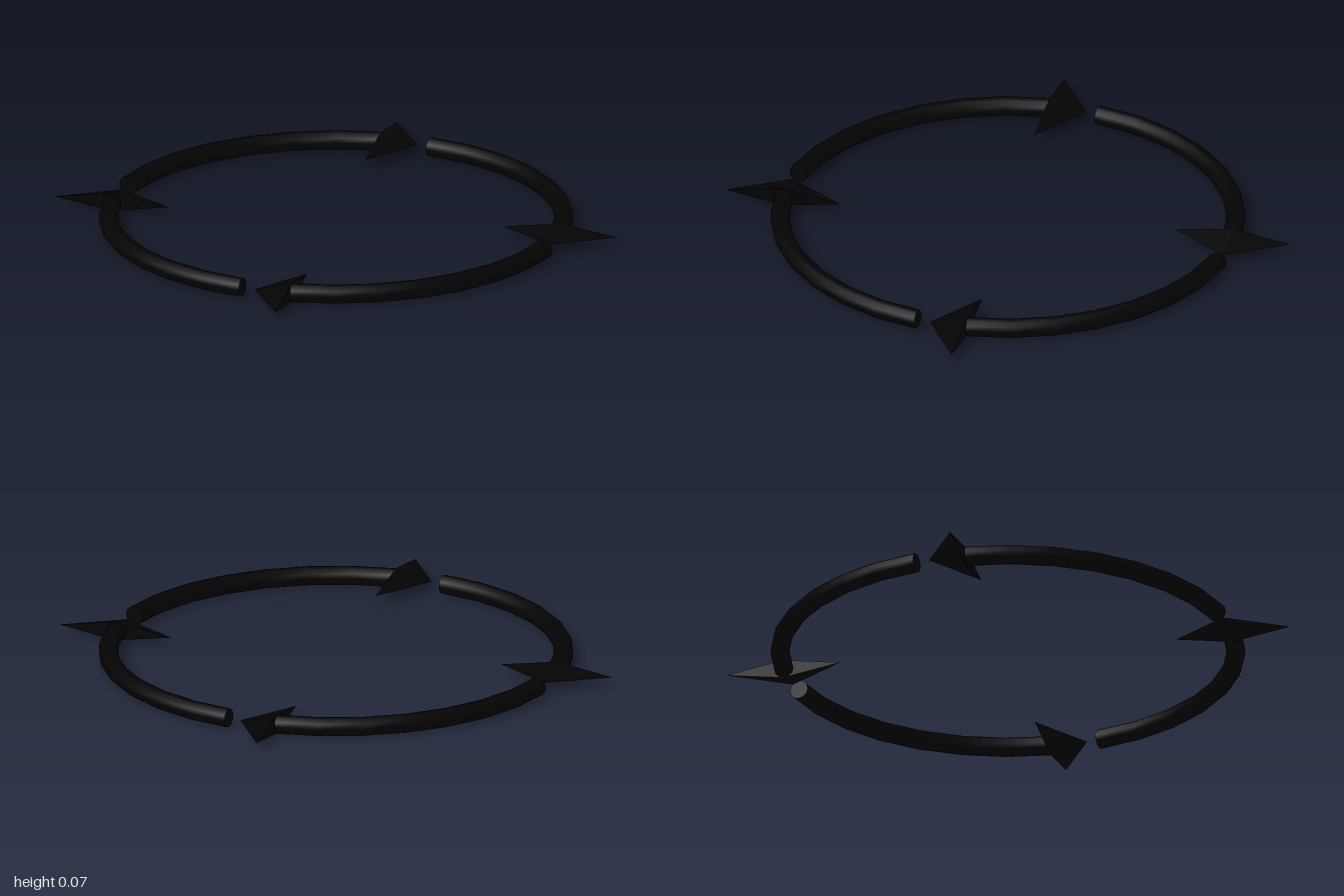
import * as THREE from 'three';
import { mergeGeometries } from 'three/addons/utils/BufferGeometryUtils.js';

const RING = 0.806, TUBE = 0.034, SIDES = 12;
const rad = THREE.MathUtils.degToRad;

// Curved shaft: a closed quarter-ring tube, tail at 88.5 degrees, head end at 11.5
function shaftGeometry() {
  const from = rad(11.5), to = rad(88.5);
  const tube = new THREE.TorusGeometry(RING, TUBE, SIDES, 7, to - from).rotateZ(from);
  const cap = (angle, turn) => new THREE.CircleGeometry(TUBE, SIDES)
    .rotateX(turn).translate(RING, 0, 0).rotateZ(angle);
  return mergeGeometries([tube, cap(to, -Math.PI / 2), cap(from, Math.PI / 2)])
    .rotateX(-Math.PI / 2).translate(0, TUBE, 0);
}

// Arrowhead: a wide four-sided pyramid, thin at the wing tips, placed by its base
function headGeometry() {
  return new THREE.ConeGeometry(1, 1, 4)
    .translate(0, 0.5, 0)
    .scale(0.209, 0.135, TUBE)
    .rotateX(Math.PI / 2)
    .rotateY(rad(6.9))
    .translate(0.7925, TUBE, -0.16);
}

export function createModel() {
  const model = new THREE.Group();
  model.name = 'arrowCircle';
  const shaftMaterial = new THREE.MeshStandardMaterial({ color: 0x030303 });
  const headMaterial = new THREE.MeshStandardMaterial({ color: 0x030303, flatShading: true });
  const shaftShape = shaftGeometry(), headShape = headGeometry();

  // Four arrows chasing each other round the ring
  for (let i = 0; i < 4; i++) {
    const arrow = new THREE.Group();
    arrow.name = `arrow${i + 1}`;
    const shaft = new THREE.Mesh(shaftShape, shaftMaterial);
    shaft.name = 'shaft';
    const head = new THREE.Mesh(headShape, headMaterial);
    head.name = 'arrowhead';
    arrow.add(shaft, head);
    arrow.rotation.y = i * Math.PI / 2;
    model.add(arrow);
  }
  return model;
}
